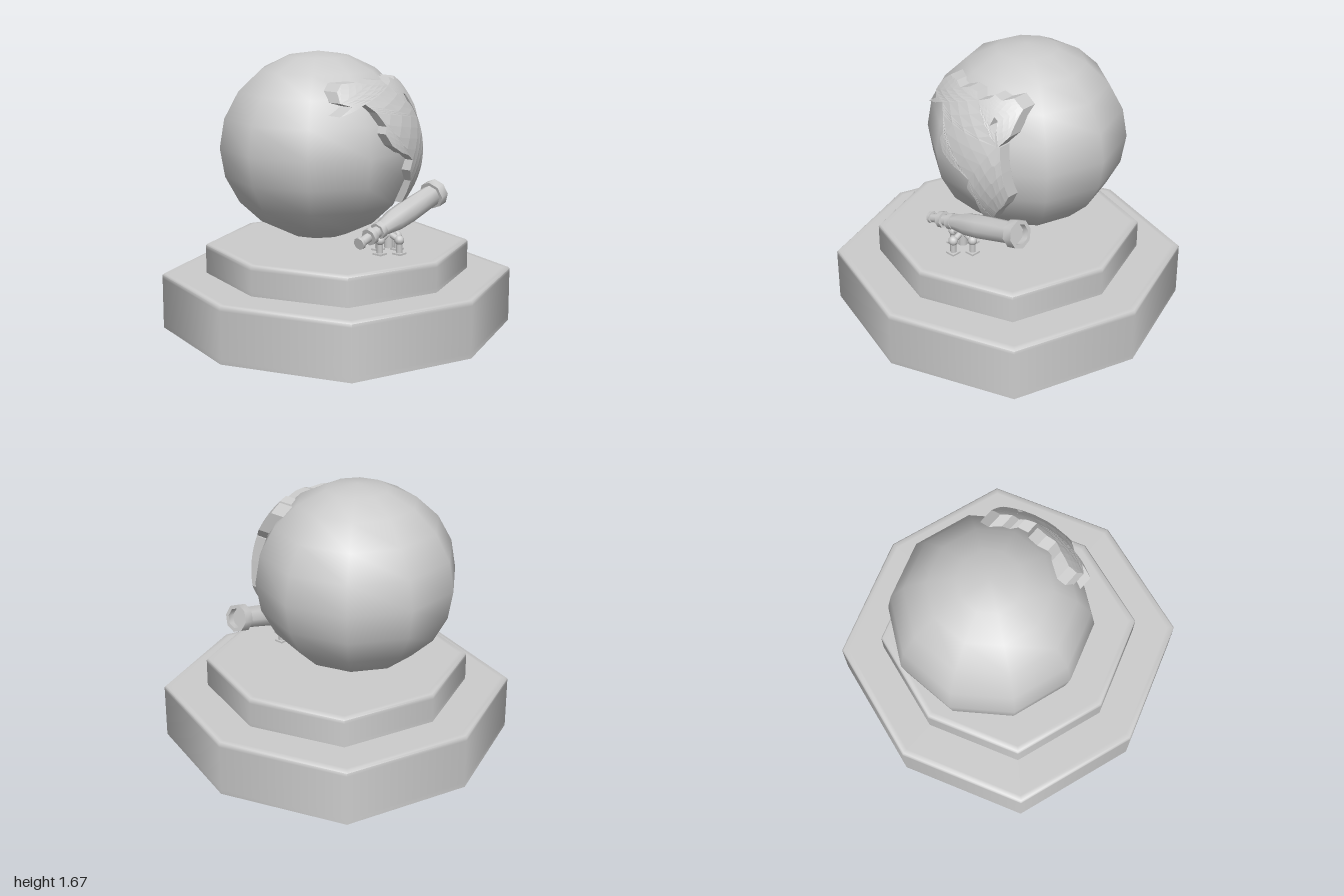
import * as THREE from 'three';
import { toCreasedNormals } from 'three/addons/utils/BufferGeometryUtils.js';

const smooth = new THREE.MeshStandardMaterial({ color: 0xcccccc });
const faceted = new THREE.MeshStandardMaterial({ color: 0xcccccc, flatShading: true, side: THREE.DoubleSide });
const GLOBE = { y: 1.1, z: -0.155, r: 0.6, squash: 0.945 };

function add(parent, name, geometry, x = 0, y = 0, z = 0, material = smooth) {
  const mesh = new THREE.Mesh(geometry, material);
  mesh.name = name;
  mesh.position.set(x, y, z);
  parent.add(mesh);
  return mesh;
}

function lathe(profile, sides, crease) {
  const g = new THREE.LatheGeometry(profile.map(p => new THREE.Vector2(...p)), sides);
  return toCreasedNormals(g, crease);
}

// Eight-cornered slab with a chamfered rim; diagonal corners pushed out a little
function slab(r, y0, y1) {
  const b = 0.01;
  const g = new THREE.LatheGeometry([
    [0, y0], [r, y0], [r, y0 + 0.03], [r, y1 - 0.03], [r, y1 - b], [r - b, y1], [r - 0.04, y1], [0, y1],
  ].map(p => new THREE.Vector2(...p)), 8);
  const p = g.attributes.position;
  for (let i = 0; i < p.count; i++) {
    const x = p.getX(i), z = p.getZ(i);
    if (Math.abs(x) > 1e-4 && Math.abs(z) > 1e-4) p.setXYZ(i, x * 1.0607, p.getY(i), z * 1.0607);
  }
  return toCreasedNormals(g, 1.0);
}

// Split every triangle in four
function subdivide(tris) {
  const out = [];
  for (const [a, b, c] of tris) {
    const ab = a.clone().lerp(b, 0.5), bc = b.clone().lerp(c, 0.5), ca = c.clone().lerp(a, 0.5);
    out.push([a, ab, ca], [ab, b, bc], [ca, bc, c], [ab, bc, ca]);
  }
  return out;
}

// Land outline (x, y as seen from the front) wrapped onto the globe as a raised plate
function landPlate(outline) {
  const shape = new THREE.Shape(outline.map(p => new THREE.Vector2(...p)));
  const flat = new THREE.ExtrudeGeometry(shape, { depth: 1, bevelEnabled: false });
  const p = flat.attributes.position;
  let tris = [];
  for (let i = 0; i < p.count; i += 3) {
    tris.push([0, 1, 2].map(k => new THREE.Vector3().fromBufferAttribute(p, i + k)));
  }
  tris = subdivide(subdivide(tris));
  const wrapped = tris.flat().map(v => {
    const r = 0.575 + 0.062 * v.z;
    const h = (v.y - GLOBE.y) / GLOBE.squash;
    return new THREE.Vector3(v.x, v.y, GLOBE.z + Math.sqrt(Math.max(0, r * r - v.x * v.x - h * h)));
  });
  const g = new THREE.BufferGeometry().setFromPoints(wrapped);
  g.computeVertexNormals();
  return g;
}

export function createModel() {
  const model = new THREE.Group();
  model.name = 'globeMonument';

  // Stepped plinth
  add(model, 'lowerPlinth', slab(1, 0, 0.34));
  add(model, 'upperPlinth', slab(0.75, 0.335, 0.52));

  // Globe
  const globe = add(model, 'globe', new THREE.SphereGeometry(GLOBE.r, 10, 10), 0, GLOBE.y, GLOBE.z);
  globe.scale.y = GLOBE.squash;

  // Raised land on the front of the globe
  add(model, 'mainLand', landPlate([
    [-0.34, 1.35], [-0.26, 1.40], [-0.31, 1.42], [-0.29, 1.48], [-0.24, 1.52], [-0.15, 1.525],
    [-0.09, 1.51], [-0.03, 1.53], [0.04, 1.525], [0.07, 1.49], [0.13, 1.51], [0.17, 1.46],
    [0.21, 1.47], [0.20, 1.39], [0.24, 1.36], [0.27, 1.29], [0.29, 1.29], [0.32, 1.14],
    [0.345, 0.99], [0.31, 0.92], [0.25, 0.85], [0.21, 0.79], [0.15, 0.79], [0.15, 0.93],
    [0.11, 1.0], [0.13, 1.06], [0.07, 1.1], [0.01, 1.12], [-0.07, 1.17], [-0.11, 1.24],
    [-0.09, 1.28], [-0.13, 1.36], [-0.18, 1.41], [-0.25, 1.38],
  ]), 0, 0, 0, faceted);
  add(model, 'northernIsland', landPlate([
    [0.12, 1.50], [0.15, 1.53], [0.20, 1.51], [0.25, 1.525], [0.32, 1.48], [0.32, 1.35],
    [0.28, 1.29], [0.25, 1.36], [0.23, 1.42], [0.18, 1.45],
  ]), 0, 0, 0, faceted);

  // Viewing telescope
  const telescope = new THREE.Group();
  telescope.name = 'telescope';
  telescope.position.z = 0.395;
  model.add(telescope);
  const barrel = add(telescope, 'barrel', lathe([
    [0, 0], [0.037, 0], [0.037, 0.02], [0.028, 0.02], [0.028, 0.09], [0.051, 0.09], [0.051, 0.125],
    [0.036, 0.125], [0.036, 0.17], [0.051, 0.17], [0.051, 0.21], [0.046, 0.21], [0.068, 0.33],
    [0.072, 0.45], [0.065, 0.7], [0.085, 0.7], [0.085, 0.76], [0.062, 0.76], [0.062, 0.72], [0, 0.72],
  ], 8, 0.9), -0.272, 0.62, 0);
  barrel.rotation.z = -Math.PI / 2 + 0.25;

  // Hub and four jointed legs
  add(telescope, 'hub', new THREE.CylinderGeometry(0.028, 0.028, 0.12, 12), 0, 0.61, 0);
  for (let i = 0; i < 4; i++) {
    const leg = new THREE.Group();
    leg.name = 'leg';
    leg.rotation.y = i * Math.PI / 2;
    telescope.add(leg);
    add(leg, 'foot', new THREE.BoxGeometry(0.06, 0.012, 0.06), 0.08, 0.525, 0);
    add(leg, 'post', new THREE.CylinderGeometry(0.019, 0.019, 0.08, 10), 0.08, 0.565, 0);
    add(leg, 'joint', new THREE.SphereGeometry(0.029, 12, 8), 0.08, 0.605, 0);
    const arm = add(leg, 'arm', new THREE.CylinderGeometry(0.018, 0.018, 0.09, 10), 0.04, 0.62, 0);
    arm.rotation.z = 1.2;
  }
  return model;
}
